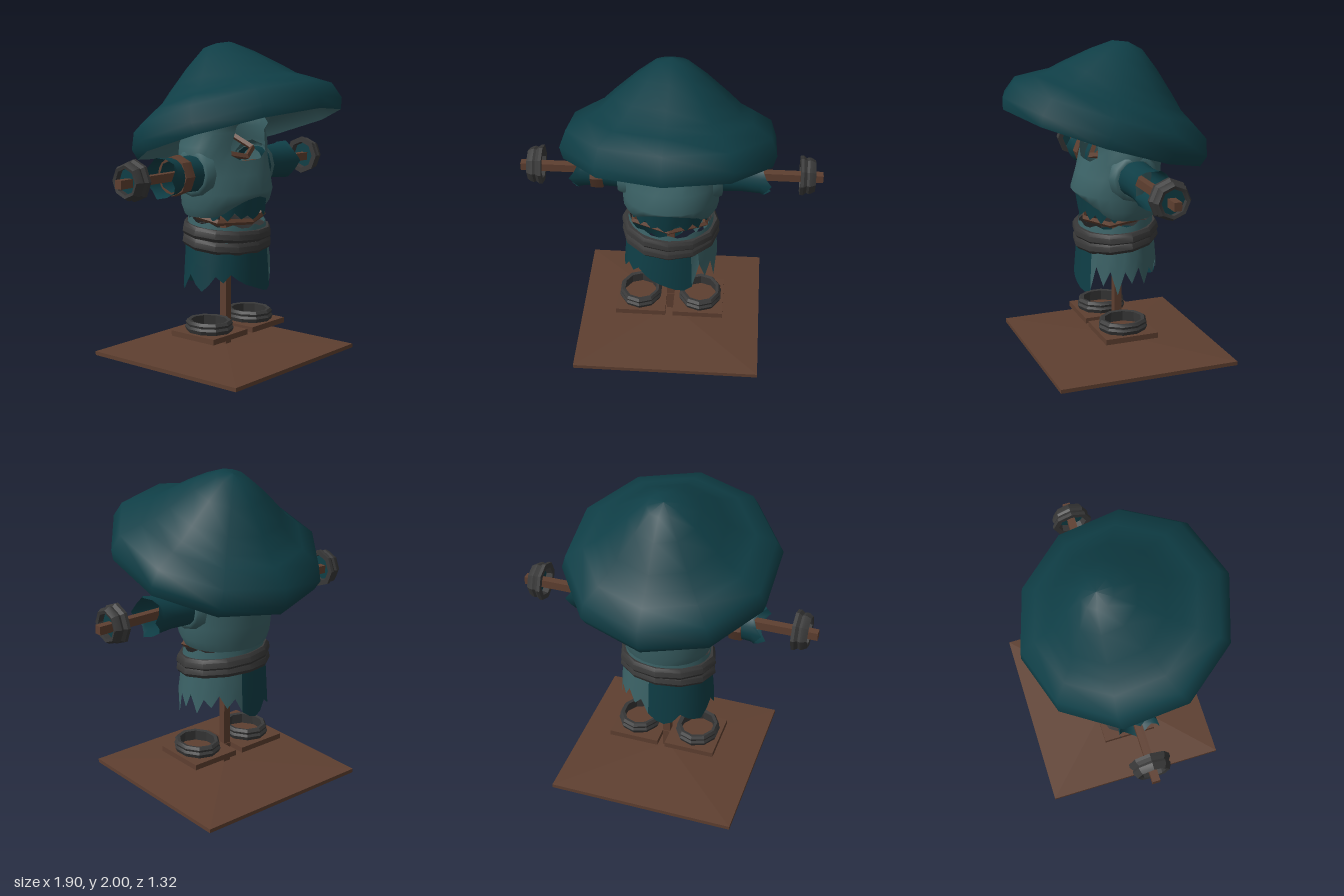
import * as THREE from 'three';
import { toCreasedNormals } from 'three/addons/utils/BufferGeometryUtils.js';

const AXIS_Z = -0.075; // depth of the central pole
const rad = THREE.MathUtils.degToRad;

function named(name, hex, side = THREE.FrontSide) {
  const m = new THREE.MeshStandardMaterial({ color: hex, side });
  m.name = name;
  return m;
}

// Grid of points wrapped round an axis: point(i, j) -> [x, y, z]
function surface(rows, cols, closed, point, skip = () => false) {
  const pos = [], idx = [];
  for (let i = 0; i < rows; i++) for (let j = 0; j < cols; j++) pos.push(...point(i, j));
  for (let i = 0; i < rows - 1; i++) {
    for (let j = 0; j < (closed ? cols : cols - 1); j++) {
      if (skip(i, j)) continue;
      const k = (j + 1) % cols;
      const a = i * cols + j, b = i * cols + k, c = a + cols, d = b + cols;
      idx.push(a, b, d, a, d, c);
    }
  }
  const g = new THREE.BufferGeometry();
  g.setAttribute('position', new THREE.Float32BufferAttribute(pos, 3));
  g.setIndex(idx);
  g.computeVertexNormals();
  return g;
}

const lathe = (pts, sides) =>
  new THREE.LatheGeometry(pts.map(([r, y]) => new THREE.Vector2(r, y)), sides);

function flat(g) {
  const f = g.index ? g.toNonIndexed() : g;
  f.computeVertexNormals();
  return f;
}

export function createModel() {
  const model = new THREE.Group();
  model.name = 'trainingDummy';
  const wood = named('brown wood', 0x5e3f30);
  const dark = named('dark teal cloth', 0x0f3e46, THREE.DoubleSide);
  const light = named('pale teal cloth', 0x3b6266, THREE.DoubleSide);
  const leather = named('dark grey leather', 0x383838);

  function add(name, geo, mat, x = 0, y = 0, z = 0, parent = model) {
    const m = new THREE.Mesh(geo, mat);
    m.name = name;
    m.position.set(x, y, z);
    parent.add(m);
    return m;
  }
  const box = (w, h, d) => new THREE.BoxGeometry(w, h, d);

  // Stand: slab, shallow pyramid and pole
  add('baseSlab', box(1.2, 0.025, 1.17), wood, 0, 0.0125, AXIS_Z);
  const pyramid = new THREE.ConeGeometry(0.6 * Math.SQRT2, 0.035, 4);
  pyramid.rotateY(Math.PI / 4).scale(1, 1, 0.975);
  add('baseTop', flat(pyramid), wood, 0, 0.0425, AXIS_Z);
  add('pole', box(0.05, 1.6, 0.05), wood, 0, 0.84, AXIS_Z);

  // Foot boards and hollow boots
  add('footBar', box(0.12, 0.03, 0.06), wood, 0, 0.172, AXIS_Z);
  const bootGeo = toCreasedNormals(lathe([[0.115, 0], [0.135, 0], [0.145, 0.025], [0.135, 0.04],
    [0.14, 0.055], [0.128, 0.072], [0.108, 0.068], [0.115, 0]], 10).scale(1, 1, 1.12), 0.5);
  for (const s of [1, -1]) {
    add(s > 0 ? 'leftFootBoard' : 'rightFootBoard', box(0.33, 0.035, 0.35), wood, s * 0.19, 0.172, -0.045);
    add(s > 0 ? 'leftBoot' : 'rightBoot', bootGeo, leather, s * 0.2, 0.19, -0.04);
  }

  // Torn skirt: one hem height every ten degrees, from the front towards +x
  const hem = [0.46, 0.44, 0.43, 0.45, 0.62, 0.5, 0.6, 0.45, 0.6, 0.52, 0.62, 0.5, 0.6, 0.55, 0.63, 0.54, 0.6,
    0.5, 0.46, 0.44, 0.46, 0.52, 0.48, 0.46, 0.45, 0.5, 0.56, 0.5, 0.46, 0.5, 0.56, 0.52, 0.57, 0.53, 0.5, 0.48];
  function skirt(name, mat, from, to) {
    const geo = surface(3, to - from + 1, false, (i, j) => {
      const k = (from + j) % 36, a = rad(k * 10), t = i / 2;
      const top = 0.77 - 0.03 * Math.cos(a);
      const grow = 1 + 0.07 * (1 - t);
      return [0.285 * grow * Math.sin(a), hem[k] + (top - hem[k]) * t, -0.06 + 0.24 * grow * Math.cos(a)];
    });
    add(name, geo, mat);
  }
  skirt('paleSkirt', light, 4, 17);
  skirt('darkSkirt', dark, 17, 39);
  skirt('skirtSeam', light, 3, 4);

  // Waist cloth with a ragged upper edge
  add('waistCloth', surface(2, 30, true, (i, j) => {
    const a = rad(j * 12), c = Math.cos(a);
    const y = i ? 0.89 - 0.035 * c + (j % 3 === 0 ? 0.015 : -0.005) : 0.76;
    const r = i ? 0.95 : 1;
    return [0.285 * r * Math.sin(a), y, -0.06 + 0.24 * r * c];
  }), light);

  // Belt wrapped twice
  const beltGeo = toCreasedNormals(lathe([[0.27, -0.04], [0.3, -0.036], [0.316, -0.015], [0.312, 0.018],
    [0.297, 0.038], [0.265, 0.036], [0.27, -0.04]], 12).scale(1, 1, 0.85), 0.6);
  [[0.758, 0.14, 0.02], [0.818, 0.1, -0.025]].forEach(([y, rx, rz], i) => {
    add(i ? 'upperBelt' : 'lowerBelt', beltGeo, leather, 0, y, -0.06).rotation.set(rx, 0, rz);
  });

  // Hexagonal wooden hoops round the pole, tilted down at the front
  function hoop(name, r, depth, y, z, tilt) {
    const g = new THREE.TorusGeometry(r, 0.02, 4, 6);
    g.rotateZ(Math.PI / 6).rotateX(Math.PI / 2).scale(1, 1, depth);
    add(name, flat(g), wood, 0, y, z).rotation.x = tilt;
  }
  hoop('waistHoop', 0.26, 0.68, 0.905, -0.03, 0.13);
  hoop('headHoop', 0.19, 1, 1.36, -0.075, 0.4);

  // Upper body: height, half width, front and back depth; face opening left out
  const rows = [[0.92, 0.275, 0.15, -0.32], [0.98, 0.305, 0.19, -0.33], [1.07, 0.31, 0.22, -0.34],
    [1.18, 0.322, 0.18, -0.34], [1.27, 0.333, 0.145, -0.34], [1.36, 0.335, 0.14, -0.33],
    [1.45, 0.285, 0.155, -0.31], [1.54, 0.31, 0.18, -0.32], [1.62, 0.34, 0.22, -0.29]];
  const COLS = 24;
  const bodyGeo = surface(rows.length, COLS, true, (i, j) => {
    const [h, rx, zf, zb] = rows[i];
    const a = j * Math.PI * 2 / COLS, c = Math.cos(a);
    let y = h;
    if (h < 1.07 && c > 0) y += 0.1 * c ** 4 * (1.07 - h) / 0.15; // arch over the chest
    if (j === 2 || j === COLS - 2) { // clipped corners of the face opening
      if (i === 4) y += 0.04;
      if (i === 7) y -= 0.05;
    }
    const mid = -0.07;
    return [rx * Math.sin(a), y, mid + c * (c > 0 ? zf - mid : mid - zb)];
  }, (i, j) => i >= 4 && i < 7 && (j < 2 || j >= COLS - 2));
  add('upperBody', bodyGeo, light);

  // Ragged dark cloth below the chest arch
  const teeth = [0.95, 0.89, 0.94, 0.9, 0.95, 0.91, 0.93, 0.9, 0.92, 0.95, 0.9, 0.94, 0.89, 0.95, 0.9, 0.95];
  add('chestCloth', surface(2, teeth.length, false, (i, j) => {
    const a = rad(-75 + j * 10);
    return [0.26 * Math.sin(a), i ? 1.06 : teeth[j], -0.07 + (i ? 0.265 : 0.24) * Math.cos(a)];
  }), dark);

  // Arms, built along +x and turned round for the other side
  const turn = (g) => g.rotateZ(-Math.PI / 2);
  const sleeveX = [0.24, 0.45, 0.56, 0.61], sleeveR = [0.118, 0.108, 0.116, 0.124];
  const sleeveGeo = turn(surface(4, 16, true, (i, j) => {
    const a = j * Math.PI / 8;
    const x = sleeveX[i] + (i === 3 ? (j % 4 === 0 ? 0.02 : j % 2 ? -0.015 : -0.035) : 0);
    return [sleeveR[i] * Math.sin(a), x, sleeveR[i] * Math.cos(a)];
  }));
  const collarGeo = turn(lathe([[0.16, 0.27], [0.142, 0.325], [0.118, 0.33]], 12));
  const cuffGeo = turn(toCreasedNormals(lathe([[0.09, 0.805], [0.125, 0.805], [0.125, 0.825], [0.11, 0.845],
    [0.116, 0.86], [0.113, 0.875], [0.098, 0.9], [0.078, 0.895], [0.09, 0.805]], 8), 0.5));
  const discGeo = turn(new THREE.CylinderGeometry(0.088, 0.088, 0.009, 8));
  const bandGeo = turn(toCreasedNormals(lathe([[0.1, 0.42], [0.122, 0.42], [0.126, 0.46], [0.122, 0.5],
    [0.1, 0.5]], 8), 0.5));
  for (const s of [1, -1]) {
    const arm = new THREE.Group();
    arm.name = s > 0 ? 'leftArm' : 'rightArm';
    arm.position.set(0, 1.2, AXIS_Z);
    if (s < 0) arm.rotation.y = Math.PI;
    model.add(arm);
    add('armBeam', box(0.95, 0.052, 0.048), wood, 0.475, 0, 0, arm);
    add('sleeve', sleeveGeo, dark, 0, 0, 0, arm);
    add('sleeveCollar', collarGeo, light, 0, 0, 0, arm);
    add('cuff', cuffGeo, leather, 0, 0.01, 0, arm);
    add('cuffLining', discGeo, dark, 0.85, 0.01, 0, arm);
    if (s < 0) add('sleeveBand', bandGeo, wood, 0, 0, 0, arm);
  }

  // Ten-sided hat, tipped backwards, with a pale hollow lining
  const hat = new THREE.Group();
  hat.name = 'hat';
  hat.position.set(0, 1.42, 0.035);
  hat.rotation.x = -0.31;
  model.add(hat);
  add('hatCrown', lathe([[0.655, 0], [0.678, 0.07], [0.64, 0.174], [0.52, 0.245], [0.44, 0.29], [0.36, 0.365],
    [0.22, 0.485], [0.1, 0.572], [0, 0.592]], 10), dark, 0, 0, 0, hat);
  add('hatLining', lathe([[0, 0.29], [0.25, 0.25], [0.4, 0.19], [0.54, 0.14], [0.61, 0.09], [0.655, 0]], 10),
    light, 0, 0, 0, hat);

  return model;
}
